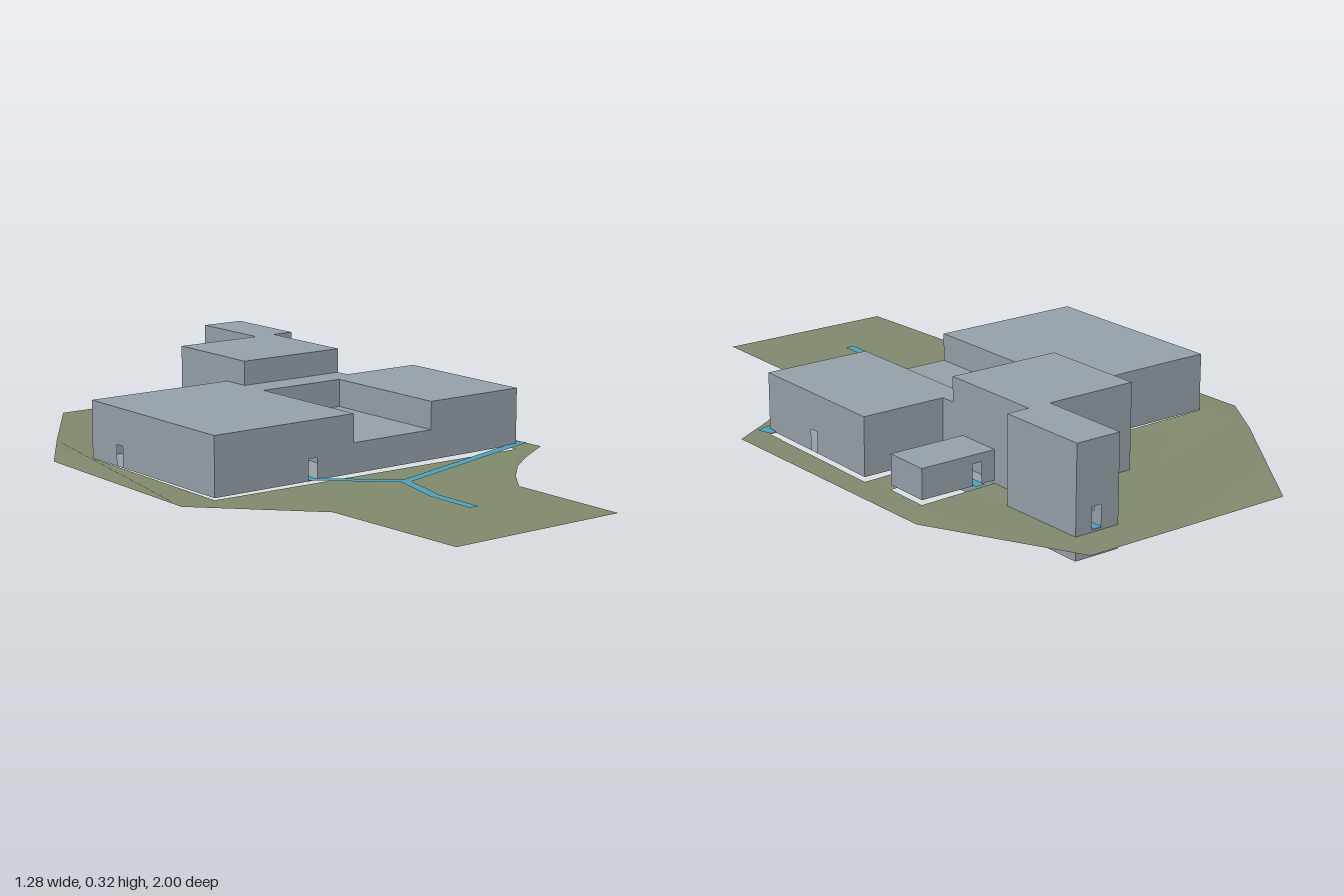
import * as THREE from 'three';

const D = THREE.DoubleSide;
const wallGrey = new THREE.MeshStandardMaterial({ name: 'wallGrey', color: 0x98a2ab, side: D });
const grassGreen = new THREE.MeshStandardMaterial({ name: 'grassGreen', color: 0x828b6f, side: D });
const pathBlue = new THREE.MeshStandardMaterial({ name: 'pathBlue', color: 0x4fa3bb, side: D });

const FLOOR = 0.073, DOOR_TOP = 0.136, DOOR_W = 0.03;

function mesh(geometry, material, name) {
  const m = new THREE.Mesh(geometry, material);
  m.name = name;
  return m;
}

// A wall of width w from y0 to y1, centred on its own x, with door openings at the given offsets
function wall(w, y0, y1, doors) {
  const s = new THREE.Shape([[-w / 2, y0], [w / 2, y0], [w / 2, y1], [-w / 2, y1]].map(p => new THREE.Vector2(...p)));
  for (const d of doors) {
    const b = Math.max(FLOOR, y0 + 0.0005), h = DOOR_W / 2;
    s.holes.push(new THREE.Path([[d - h, b], [d - h, DOOR_TOP], [d + h, DOOR_TOP], [d + h, b]].map(p => new THREE.Vector2(...p))));
  }
  return new THREE.ShapeGeometry(s);
}

// Hollow block; doors give the x or z of each opening, by side
function block(name, x0, x1, z0, z1, y0, y1, doors = {}) {
  const g = new THREE.Group();
  g.name = name;
  const cx = (x0 + x1) / 2, cz = (z0 + z1) / 2, w = x1 - x0, d = z1 - z0;
  const at = (list = [], f) => list.map(f);
  g.add(mesh(wall(w, y0, y1, at(doors.front, v => v - cx)).translate(cx, 0, z1), wallGrey, 'frontWall'));
  g.add(mesh(wall(w, y0, y1, at(doors.back, v => cx - v)).rotateY(Math.PI).translate(cx, 0, z0), wallGrey, 'backWall'));
  g.add(mesh(wall(d, y0, y1, at(doors.left, v => cz - v)).rotateY(Math.PI / 2).translate(x1, 0, cz), wallGrey, 'leftWall'));
  g.add(mesh(wall(d, y0, y1, at(doors.right, v => v - cz)).rotateY(-Math.PI / 2).translate(x0, 0, cz), wallGrey, 'rightWall'));
  g.add(mesh(new THREE.PlaneGeometry(w, d).rotateX(-Math.PI / 2).translate(cx, y1, cz), wallGrey, 'roof'));
  g.add(mesh(new THREE.PlaneGeometry(w, d).rotateX(Math.PI / 2).translate(cx, y0, cz), wallGrey, 'floor'));
  return g;
}

// Flat mitred ribbon along x,z points
function ribbon(points, name, width = 0.03, y = 0.0765) {
  const p = points.map(q => new THREE.Vector2(...q)), pos = [], idx = [];
  p.forEach((c, i) => {
    const a = c.clone().sub(p[Math.max(i - 1, 0)]).normalize();
    const b = p[Math.min(i + 1, p.length - 1)].clone().sub(c).normalize();
    const t = a.clone().add(b).normalize();
    const k = width / 2 / Math.max(t.dot(i ? a : b), 0.5);
    pos.push(c.x + t.y * k, y, c.y - t.x * k, c.x - t.y * k, y, c.y + t.x * k);
    if (i) idx.push(2 * i - 2, 2 * i - 1, 2 * i, 2 * i - 1, 2 * i + 1, 2 * i);
  });
  const g = new THREE.BufferGeometry();
  g.setAttribute('position', new THREE.Float32BufferAttribute(pos, 3));
  g.setIndex(idx);
  g.computeVertexNormals();
  // keep the normals facing up
  if (g.attributes.normal.getY(0) < 0) {
    g.setIndex(idx.reverse());
    g.computeVertexNormals();
  }
  return mesh(g, pathBlue, name);
}

// Plot of ground: an outline cut out under the building, raised or lowered gently
function ground() {
  const v = list => list.map(([x, z]) => new THREE.Vector2(x, -z));
  const s = new THREE.Shape(v([
    [-0.25, -1], [0.41, -1], [0.62, -0.56], [0.63, -0.15], [0.64, 0.26], [0.5, 0.345], [0.4, 0.42], [0.3, 0.52],
    [0.22, 0.62], [0.22, 1], [-0.34, 1], [-0.365, 0.54], [-0.645, 0.25], [-0.645, -0.4], [-0.52, -0.59],
  ]));
  s.holes.push(new THREE.Path(v([
    [-0.535, 0.245], [-0.535, -0.365], [-0.06, -0.365], [-0.06, -0.605], [0.22, -0.605], [0.22, -0.885],
    [0.36, -0.885], [0.36, -0.605], [0.29, -0.605], [0.29, -0.46], [0.53, -0.46], [0.53, -0.32],
    [0.29, -0.32], [0.29, -0.23], [0.553, -0.23], [0.553, 0.245],
  ])));
  const g = new THREE.ShapeGeometry(s).rotateX(-Math.PI / 2);
  const p = g.attributes.position;
  for (let i = 0; i < p.count; i++) {
    const x = p.getX(i), z = p.getZ(i);
    const rise = 0.018 * Math.exp(-((x + 0.52) ** 2 + (z + 0.59) ** 2) / 0.04);
    const dip = 0.008 * THREE.MathUtils.smoothstep(x, 0.2, 0.5) * THREE.MathUtils.smoothstep(z, -1, -0.5);
    p.setY(i, 0.067 + rise - dip);
  }
  g.computeVertexNormals();
  return mesh(g, grassGreen, 'ground');
}

export function createModel() {
  const model = new THREE.Group();
  model.name = 'buildingSite';
  const T = 0.244;
  model.add(
    ground(),
    // main storey, with a lower courtyard block between the wings
    block('rightWing', -0.535, -0.06, -0.365, 0.245, FLOOR, T, { front: [-0.205], right: [-0.22] }),
    block('leftWing', 0.222, 0.553, -0.23, 0.245, FLOOR, T, { left: [0.015] }),
    block('lowMiddle', -0.06, 0.222, -0.18, 0.245, FLOOR, 0.161),
    block('rearLink', -0.06, 0.222, -0.275, -0.18, FLOOR, T),
    block('rearCorner', 0.222, 0.292, -0.275, -0.23, FLOOR, T),
    // tall blocks with a basement
    block('tower', -0.06, 0.292, -0.605, -0.275, 0, 0.317, { back: [0.135] }),
    block('rearTower', 0.222, 0.362, -0.885, -0.605, 0, 0.317, { back: [0.295], right: [-0.775] }),
    block('sideAnnex', 0.292, 0.53, -0.46, -0.32, FLOOR, 0.161, { back: [0.35] }),
    // paths
    ribbon([[-0.06, 0.75], [-0.06, 0.59], [-0.015, 0.415], [-0.205, 0.24], [-0.205, 0.15]], 'frontPath'),
    ribbon([[-0.02, 0.418], [0.57, 0.245], [0.56, 0.212]], 'sidePath'),
    ribbon([[0.135, -0.54], [0.135, -0.61], [0.22, -0.765], [0.29, -0.775]], 'rearPath'),
    ribbon([[0.295, -0.89], [0.295, -0.78]], 'rearDoorPath'),
    ribbon([[0.35, -0.475], [0.35, -0.4]], 'annexPath'),
  );
  return model;
}
